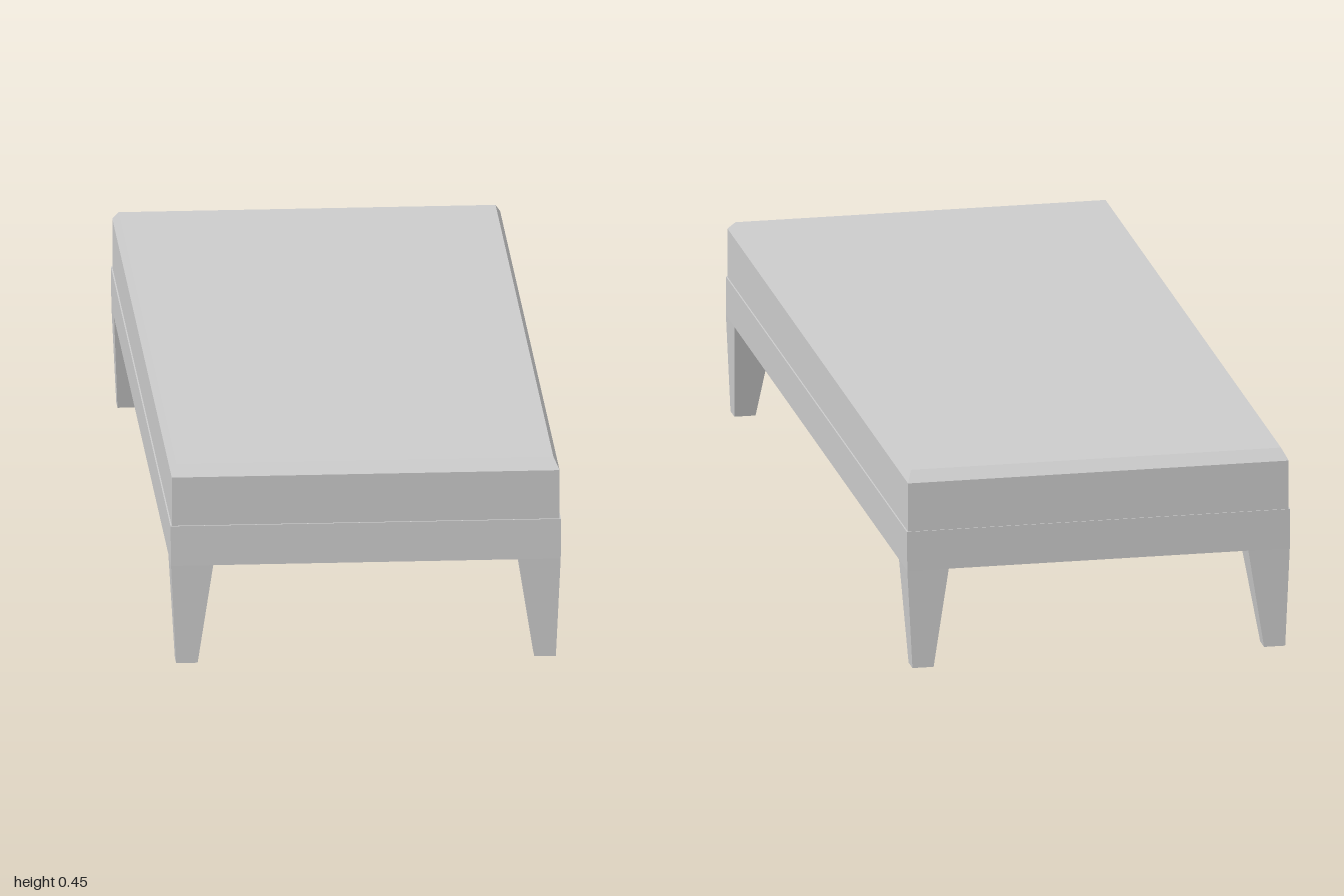
import * as THREE from 'three';

const material = new THREE.MeshStandardMaterial({ color: 0xcccccc, flatShading: true });

// Box whose bottom and top rectangles differ; each is [x0, x1, z0, z1]
function taperedBox(name, y0, y1, bottom, top) {
  const geometry = new THREE.BoxGeometry(1, 1, 1);
  const p = geometry.attributes.position;
  for (let i = 0; i < p.count; i++) {
    const up = p.getY(i) > 0;
    const r = up ? top : bottom;
    p.setXYZ(i, p.getX(i) > 0 ? r[1] : r[0], up ? y1 : y0, p.getZ(i) > 0 ? r[3] : r[2]);
  }
  geometry.computeVertexNormals();
  const mesh = new THREE.Mesh(geometry, material);
  mesh.name = name;
  return mesh;
}

export function createModel() {
  const group = new THREE.Group();
  group.name = 'bed';

  // Frame and mattress with a bevelled top edge
  const frameBottom = [-0.434, 0.434, -0.997, 0.997];
  const frameTop = [-0.435, 0.435, -0.997, 0.994];
  const cushion = [-0.432, 0.432, -0.995, 0.99];
  group.add(
    taperedBox('frame', 0.225, 0.316, frameBottom, frameTop),
    taperedBox('mattress', 0.316, 0.428, cushion, cushion),
    taperedBox('mattressBevel', 0.428, 0.451, cushion, [-0.42, 0.42, -0.968, 0.96])
  );

  // Four legs tapering towards the floor, flush with the frame corners
  const span = (sign, inner, outer) => (sign > 0 ? [inner, outer] : [-outer, -inner]);
  for (const sx of [-1, 1]) {
    for (const sz of [-1, 1]) {
      const name = (sz > 0 ? 'front' : 'back') + (sx > 0 ? 'Left' : 'Right') + 'Leg';
      group.add(taperedBox(name, 0, 0.225,
        [...span(sx, 0.375, 0.423), ...span(sz, 0.957, 1)],
        [...span(sx, 0.34, 0.434), ...span(sz, 0.905, 0.997)]));
    }
  }
  return group;
}
